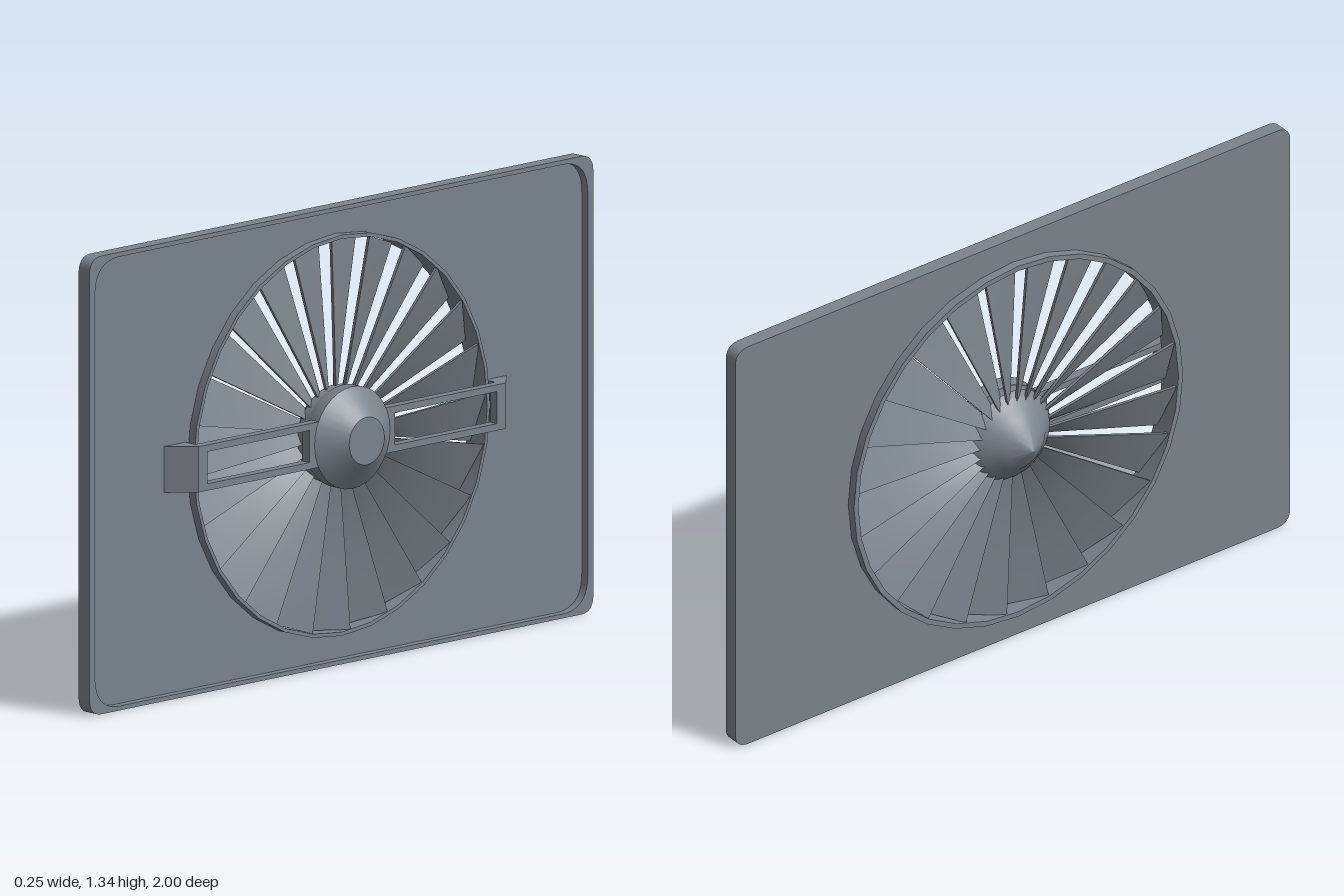
import * as THREE from 'three';
import { toCreasedNormals } from 'three/addons/utils/BufferGeometryUtils.js';

const CY = 0.672; // height of the fan axis, which runs along x

export function createModel() {
  const root = new THREE.Group();
  const material = new THREE.MeshStandardMaterial({ color: 0x7b848c });
  const add = (parent, name, geometry) => {
    const mesh = new THREE.Mesh(geometry, material);
    mesh.name = name;
    parent.add(mesh);
    return mesh;
  };

  // Rounded rectangle, centred on the origin
  const roundedRect = (Type, w, h, r) => {
    const p = new Type(), x = w / 2, y = h / 2;
    p.moveTo(-x + r, -y);
    p.lineTo(x - r, -y);
    p.quadraticCurveTo(x, -y, x, -y + r);
    p.lineTo(x, y - r);
    p.quadraticCurveTo(x, y, x - r, y);
    p.lineTo(-x + r, y);
    p.quadraticCurveTo(-x, y, -x, y - r);
    p.lineTo(-x, -y + r);
    p.quadraticCurveTo(-x, -y, -x + r, -y);
    return p;
  };
  // Sheet facing +x, between two x positions
  const sheet = (shape, x0, x1, curveSegments) =>
    new THREE.ExtrudeGeometry(shape, { depth: x1 - x0, bevelEnabled: false, curveSegments })
      .rotateY(Math.PI / 2).translate(x0, 0, 0);
  // Turned part around the x axis; profile points are [radius, x]
  const turned = (points, segments) =>
    toCreasedNormals(new THREE.LatheGeometry(points.map(p => new THREE.Vector2(...p)), segments)
      .rotateZ(-Math.PI / 2), 0.45);

  const fan = new THREE.Group();
  fan.name = 'fanAssembly';
  fan.position.y = CY;
  root.add(fan);

  // Mounting plate with a round opening and a shallow raised border
  const plate = roundedRect(THREE.Shape, 2, 1.344, 0.05);
  const opening = new THREE.Path();
  opening.absarc(0, 0, 0.585, 0, Math.PI * 2, true);
  plate.holes.push(opening);
  add(fan, 'plate', sheet(plate, -0.025, -0.005, 16));
  const border = roundedRect(THREE.Shape, 2, 1.344, 0.05);
  border.holes.push(roundedRect(THREE.Path, 1.956, 1.318, 0.1));
  add(fan, 'plateBorder', sheet(border, -0.005, 0.02, 16));

  // Duct ring lining the opening
  add(fan, 'ductRing', turned([[0.577, -0.052], [0.593, -0.052], [0.593, -0.025], [0.588, -0.025],
    [0.588, 0.022], [0.577, 0.022], [0.577, -0.052]], 32));

  // Tapered blades whose pitch flattens towards the tip
  const rIn = 0.1, rOut = 0.572, count = 24;
  const blade = new THREE.BoxGeometry(0.01, rOut - rIn, 1, 1, 4, 1).translate(0, (rIn + rOut) / 2, 0);
  const pos = blade.attributes.position;
  for (let i = 0; i < pos.count; i++) {
    const r = pos.getY(i), side = Math.sign(pos.getZ(i));
    pos.setX(i, pos.getX(i) + side * THREE.MathUtils.mapLinear(r, rIn, rOut, 0.015, 0.028));
    pos.setZ(i, side * r * 0.131);
  }
  blade.computeVertexNormals();
  const blades = new THREE.Group();
  blades.name = 'blades';
  blades.position.x = -0.014;
  fan.add(blades);
  for (let i = 0; i < count; i++) {
    add(blades, 'blade', blade).rotation.x = (11.2 + i * 360 / count) * Math.PI / 180;
  }

  // Pointed spinner behind, motor housing in front
  add(fan, 'spinner', turned([[0, -0.125], [0.03, -0.105], [0.063, -0.083], [0.085, -0.066],
    [0.103, -0.048], [0.13, -0.03], [0.145, -0.01], [0.145, 0.022], [0, 0.022]], 32));
  add(fan, 'motorHousing', turned([[0, 0.02], [0.147, 0.02], [0.15, 0.027], [0.15, 0.065],
    [0.07, 0.125], [0, 0.125]], 32));

  // Two slotted support arms, each ending in a sloped foot on the plate
  const foot = new THREE.ExtrudeGeometry(new THREE.Shape([[0.575, 0.035], [0.595, 0.035],
    [0.595, -0.005], [0.68, -0.005], [0.61, 0.065], [0.575, 0.065]].map(p => new THREE.Vector2(...p))),
  { depth: 0.134, bevelEnabled: false }).translate(0, 0, -0.067);
  foot.applyMatrix4(new THREE.Matrix4().makeBasis(
    new THREE.Vector3(0, 0, 1), new THREE.Vector3(1, 0, 0), new THREE.Vector3(0, 1, 0)));
  for (const turn of [0, Math.PI]) {
    const arm = new THREE.Group();
    arm.name = 'supportArm';
    arm.rotation.x = turn;
    fan.add(arm);
    add(arm, 'armFoot', foot);
    add(arm, 'armRoot', new THREE.BoxGeometry(0.03, 0.134, 0.07)).position.set(0.05, 0, 0.135);
    for (const side of [-1, 1]) {
      add(arm, 'armRail', new THREE.BoxGeometry(0.03, 0.02, 0.42)).position.set(0.05, side * 0.057, 0.37);
    }
  }
  return root;
}
